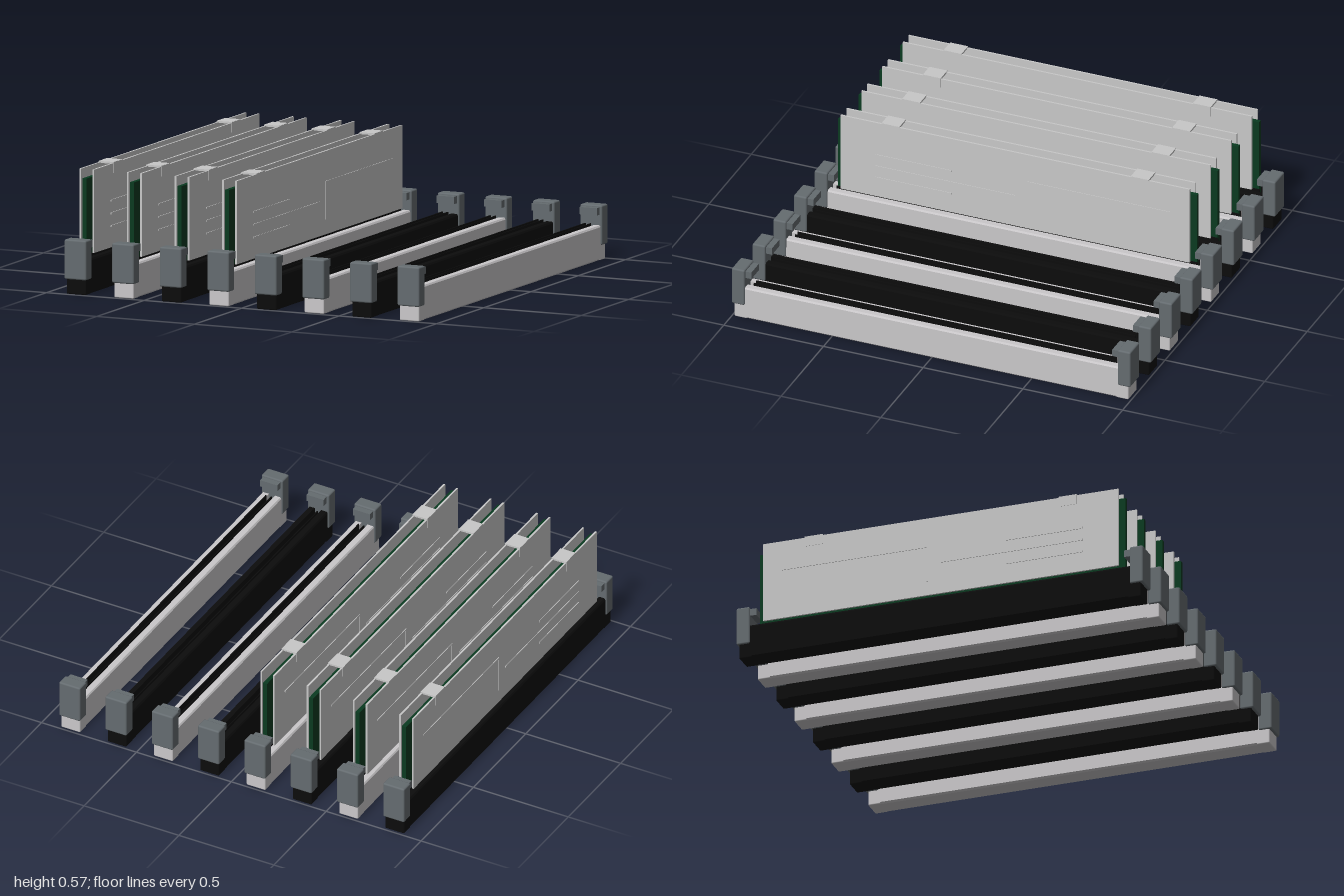
import * as THREE from 'three';
import { RoundedBoxGeometry } from 'three/addons/geometries/RoundedBoxGeometry.js';

const mat = (name, color) => {
  const m = new THREE.MeshStandardMaterial({ color });
  m.name = name;
  return m;
};

// Box given by its min and max corners
function box(parent, name, material, [x0, y0, z0], [x1, y1, z1], radius = 0) {
  const s = [x1 - x0, y1 - y0, z1 - z0];
  const g = radius ? new RoundedBoxGeometry(...s, 2, radius) : new THREE.BoxGeometry(...s);
  const mesh = new THREE.Mesh(g, material);
  mesh.name = name;
  mesh.position.set((x0 + x1) / 2, (y0 + y1) / 2, (z0 + z1) / 2);
  parent.add(mesh);
  return mesh;
}

// Cross-section in x/y extruded along z, centred on z = 0
function channel(parent, name, material, points, halfLength) {
  const shape = new THREE.Shape(points.map(p => new THREE.Vector2(...p)));
  const g = new THREE.ExtrudeGeometry(shape, { depth: 2 * halfLength, bevelEnabled: false });
  g.translate(0, 0, -halfLength);
  const mesh = new THREE.Mesh(g, material);
  mesh.name = name;
  parent.add(mesh);
}

export function createModel() {
  const black = mat('black plastic', 0x0c0c0c);
  const light = mat('light grey plastic', 0xcac8ca);
  const grey = mat('latch grey', 0x656c70);
  const green = mat('board green', 0x0a3a20);
  const metal = mat('spreader metal', 0xc8c8c8);
  const root = new THREE.Group();
  root.name = 'memorySlots';

  function makeSlot(bodyMaterial) {
    const slot = new THREE.Group();
    slot.name = 'slot';
    // Socket body with a long groove and softened lower edges
    channel(slot, 'socketBody', bodyMaterial, [
      [-0.042, 0], [0.042, 0], [0.05, 0.008], [0.05, 0.155], [0.045, 0.163], [0.016, 0.163],
      [0.016, 0.08], [-0.016, 0.08], [-0.016, 0.163], [-0.045, 0.163], [-0.05, 0.155], [-0.05, 0.008],
    ], 0.935);
    // Contact liner rising just above the body
    channel(slot, 'contactLiner', black, [
      [-0.016, 0.08], [0.016, 0.08], [0.016, 0.175], [0.011, 0.175],
      [0.011, 0.1], [-0.011, 0.1], [-0.011, 0.175], [-0.016, 0.175],
    ], 0.905);

    for (const s of [-1, 1]) {
      const end = new THREE.Group();
      end.name = s > 0 ? 'frontEnd' : 'backEnd';
      if (s < 0) end.rotation.y = Math.PI;
      slot.add(end);
      box(end, 'socketFoot', bodyMaterial, [-0.05, 0, 0.925], [0.05, 0.12, 0.988], 0.006);
      // Latch: outer lever with an inner hook
      box(end, 'latchLever', grey, [-0.056, 0.07, 0.935], [0.056, 0.256, 1], 0.008);
      box(end, 'latchHook', grey, [-0.045, 0.213, 0.905], [0.045, 0.247, 0.94]);
    }
    return slot;
  }

  function makeModule() {
    const module = new THREE.Group();
    module.name = 'memoryModule';
    box(module, 'circuitBoard', green, [-0.0105, 0.1, -0.9], [0.0105, 0.53, 0.9]);
    for (const s of [-1, 1]) {
      const side = new THREE.Group();
      side.name = s > 0 ? 'leftSide' : 'rightSide';
      module.add(side);
      const sideBox = (name, m, x0, x1, y0, y1, z0, z1) =>
        box(side, name, m, [Math.min(s * x0, s * x1), y0, z0], [Math.max(s * x0, s * x1), y1, z1]);
      // Heat spreader plate
      sideBox('heatSpreader', metal, 0.029, 0.038, 0.18, 0.57, -0.875, 0.875);
      // Raised ribs on the plate
      sideBox('rib', metal, 0.037, 0.041, 0.395, 0.403, 0.32, 0.7);
      sideBox('rib', metal, 0.037, 0.041, 0.335, 0.343, 0.0, 0.7);
      sideBox('rib', metal, 0.037, 0.041, 0.275, 0.283, 0.32, 0.7);
      sideBox('uprightRib', metal, 0.037, 0.041, 0.25, 0.43, -0.07, -0.062);
      sideBox('longRib', metal, 0.037, 0.041, 0.422, 0.43, -0.78, -0.062);
      // Memory chips
      for (let i = 0; i < 9; i++) {
        const z = (i - 4) * 0.19;
        sideBox('chip', black, 0.0095, 0.025, 0.265, 0.395, z - 0.075, z + 0.075);
      }
    }
    // Spring clips bridging the two plates
    for (const z of [-0.625, 0.625]) {
      box(module, 'clipTop', metal, [-0.039, 0.566, z - 0.045], [0.039, 0.575, z + 0.045]);
      for (const s of [-1, 1])
        box(module, 'clipArm', metal, [s * 0.0365 - 0.003, 0.525, z - 0.045],
          [s * 0.0365 + 0.003, 0.574, z + 0.045]);
    }
    return module;
  }

  // Eight slots in alternating colours, the first four filled
  for (let i = 0; i < 8; i++) {
    const slot = makeSlot(i % 2 ? light : black);
    if (i < 4) slot.add(makeModule());
    slot.position.x = (i - 3.5) * 0.244;
    root.add(slot);
  }
  return root;
}
